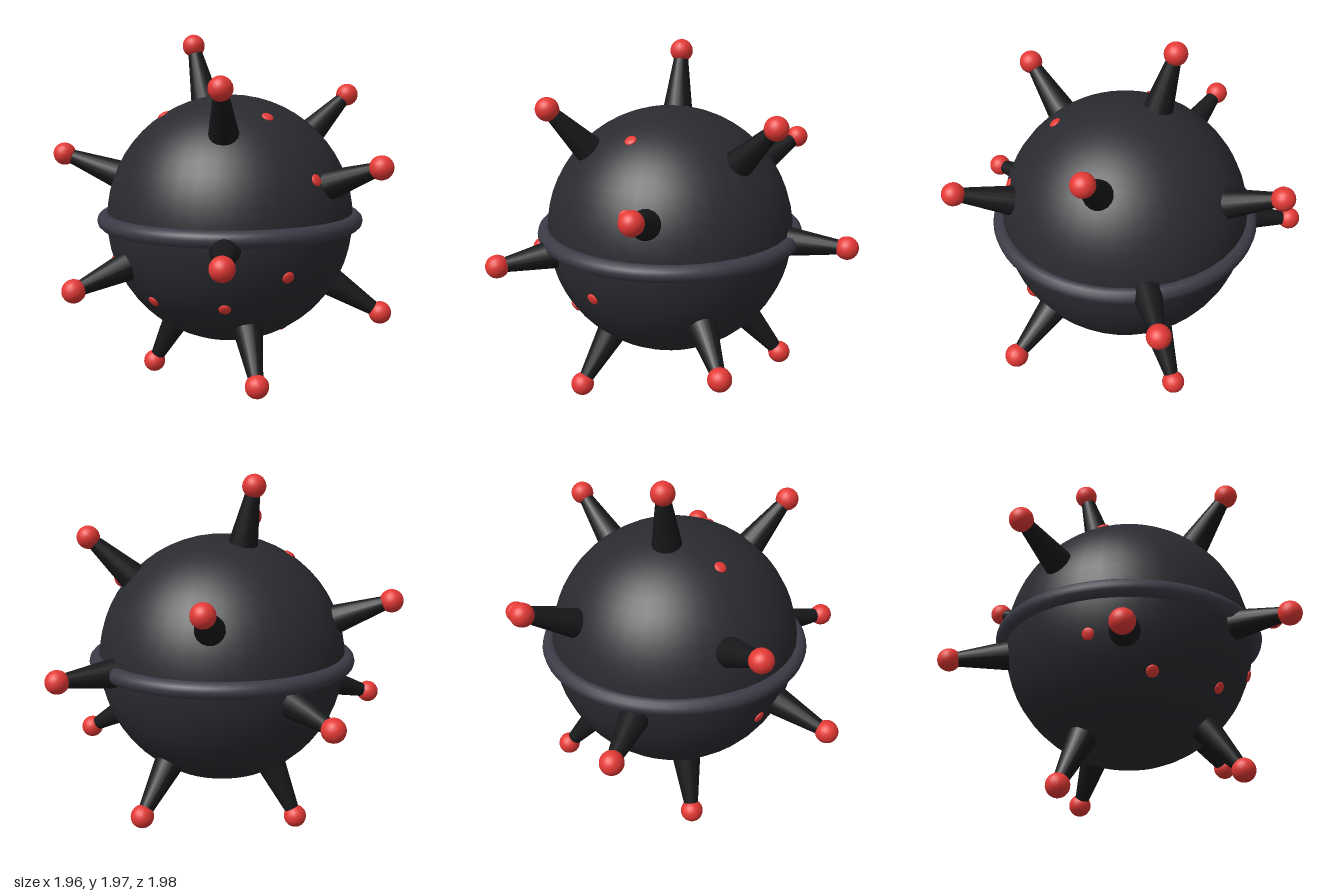
import * as THREE from 'three';

const CENTER_Y = 0.96, BODY_R = 0.692, TIP_R = 1.003;
const UP = new THREE.Vector3(0, 1, 0);

const paint = (color) => new THREE.MeshStandardMaterial({ color });

// Ball positions of the spikes, relative to the body centre
const SPIKES = [
  [-0.26, 0.97, -0.075], [0.23, 0.73, 0.64], [0.53, 0.69, -0.505],
  [0.92, 0.34, 0.21], [-0.865, 0.36, 0.35], [-0.92, -0.16, -0.365],
  [0.365, -0.08, 0.925], [-0.535, -0.305, 0.785], [0.83, -0.525, -0.22],
  [-0.46, -0.885, 0.07], [0.066, -0.765, -0.645], [0.37, -0.785, 0.5],
  [-0.455, 0.42, -0.79], [0.37, 0, -0.935],
];

// Directions of the small studs on one side; mirrored in x
const STUDS = [
  [0.31, 0.585, 0.215], [0.59, 0.265, 0.245],
  [0.505, -0.215, 0.42], [0.205, -0.385, 0.535],
];

export function createModel() {
  const model = new THREE.Group();
  const bodyMat = paint(0x2a2b30), ringMat = paint(0x3a3b46);
  const spikeMat = paint(0x17181a), redMat = paint(0xe53935);

  const add = (parent, name, geometry, material) => {
    const mesh = new THREE.Mesh(geometry, material);
    mesh.name = name;
    parent.add(mesh);
    return mesh;
  };

  // Round hull and the belt around its middle
  const body = add(model, 'body', new THREE.SphereGeometry(BODY_R, 40, 28), bodyMat);
  body.position.y = CENTER_Y;
  const belt = add(model, 'belt', new THREE.TorusGeometry(0.7, 0.046, 12, 64), ringMat);
  belt.rotation.x = Math.PI / 2;
  belt.position.y = CENTER_Y;

  // Tapered spikes with a ball on each tip, built along +y and turned outward
  const inner = 0.63, outer = 0.97;
  const shaftGeo = new THREE.CylinderGeometry(0.038, 0.088, outer - inner, 16);
  shaftGeo.translate(0, (inner + outer) / 2, 0);
  const ballGeo = new THREE.SphereGeometry(0.063, 20, 14);
  ballGeo.translate(0, TIP_R - 0.003, 0);
  for (const p of SPIKES) {
    const spike = new THREE.Group();
    spike.name = 'spike';
    add(spike, 'spikeShaft', shaftGeo, spikeMat);
    add(spike, 'spikeBall', ballGeo, redMat);
    spike.position.y = CENTER_Y;
    spike.quaternion.setFromUnitVectors(UP, new THREE.Vector3(...p).normalize());
    model.add(spike);
  }

  // Flat round studs on the front half
  const studGeo = new THREE.SphereGeometry(0.033, 16, 10);
  studGeo.scale(1, 0.35, 1);
  for (const side of [1, -1]) {
    for (const [x, y, z] of STUDS) {
      const dir = new THREE.Vector3(side * x, y, z).normalize();
      const stud = add(model, 'stud', studGeo, redMat);
      stud.position.copy(dir).multiplyScalar(BODY_R);
      stud.position.y += CENTER_Y;
      stud.quaternion.setFromUnitVectors(UP, dir);
    }
  }
  return model;
}
